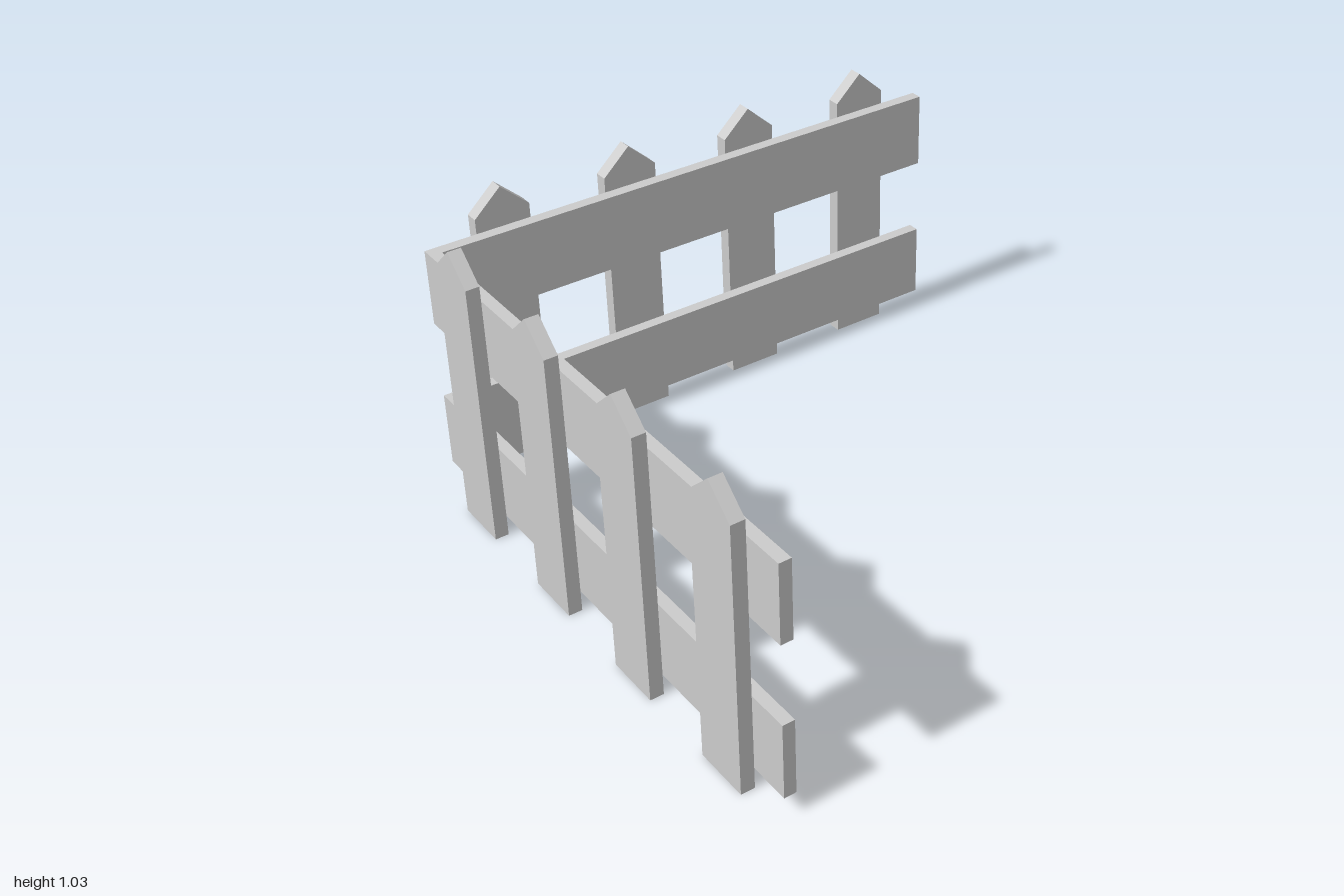
import * as THREE from 'three';

const material = new THREE.MeshStandardMaterial({ color: 0xcccccc, flatShading: true, side: THREE.DoubleSide });

const PICKET_WIDTH = 0.196, SHOULDER = 0.94, PEAK = 1.03;
const OUTER = 1, RAIL_OUT = 0.953, RAIL_IN = 0.912;

function extrude(points, depth) {
  const shape = new THREE.Shape(points.map(([x, y]) => new THREE.Vector2(x, y)));
  return new THREE.ExtrudeGeometry(shape, { depth, bevelEnabled: false });
}

// Pointed board, back face at z = 0; its foot is left open
function picketGeometry() {
  const w = PICKET_WIDTH / 2;
  const solid = extrude([[-w, 0], [w, 0], [w, SHOULDER], [0, PEAK], [-w, SHOULDER]], OUTER - RAIL_OUT);
  const p = solid.attributes.position, kept = [];
  for (let i = 0; i < p.count; i += 3) {
    if (Math.max(p.getY(i), p.getY(i + 1), p.getY(i + 2)) < 1e-6) continue;
    for (let j = i; j < i + 3; j++) kept.push(p.getX(j), p.getY(j), p.getZ(j));
  }
  const geometry = new THREE.BufferGeometry();
  geometry.setAttribute('position', new THREE.Float32BufferAttribute(kept, 3));
  geometry.computeVertexNormals();
  return geometry;
}

// L-shaped rail in plan, running round the corner
function railGeometry(height) {
  const geometry = extrude([
    [-RAIL_OUT, -RAIL_OUT], [1, -RAIL_OUT], [1, -RAIL_IN],
    [-RAIL_IN, -RAIL_IN], [-RAIL_IN, 1], [-RAIL_OUT, 1],
  ], height);
  return geometry.rotateX(-Math.PI / 2);
}

export function createModel() {
  const fence = new THREE.Group();
  fence.name = 'cornerFence';

  // Lower and upper rails
  for (const [name, bottom, top] of [['lowerRail', 0.075, 0.342], ['upperRail', 0.621, 0.889]]) {
    const rail = new THREE.Mesh(railGeometry(top - bottom), material);
    rail.name = name;
    rail.position.y = bottom;
    fence.add(rail);
  }

  // Pickets on the outside of both wings
  const geometry = picketGeometry();
  for (let i = 0; i < 4; i++) {
    const along = -0.672 + i * 0.4765;

    const front = new THREE.Mesh(geometry, material);
    front.name = `frontPicket${i + 1}`;
    front.position.set(along, 0, RAIL_OUT);

    const side = new THREE.Mesh(geometry, material);
    side.name = `sidePicket${i + 1}`;
    side.rotation.y = -Math.PI / 2;
    side.position.set(-RAIL_OUT, 0, -along);

    fence.add(front, side);
  }
  return fence;
}
